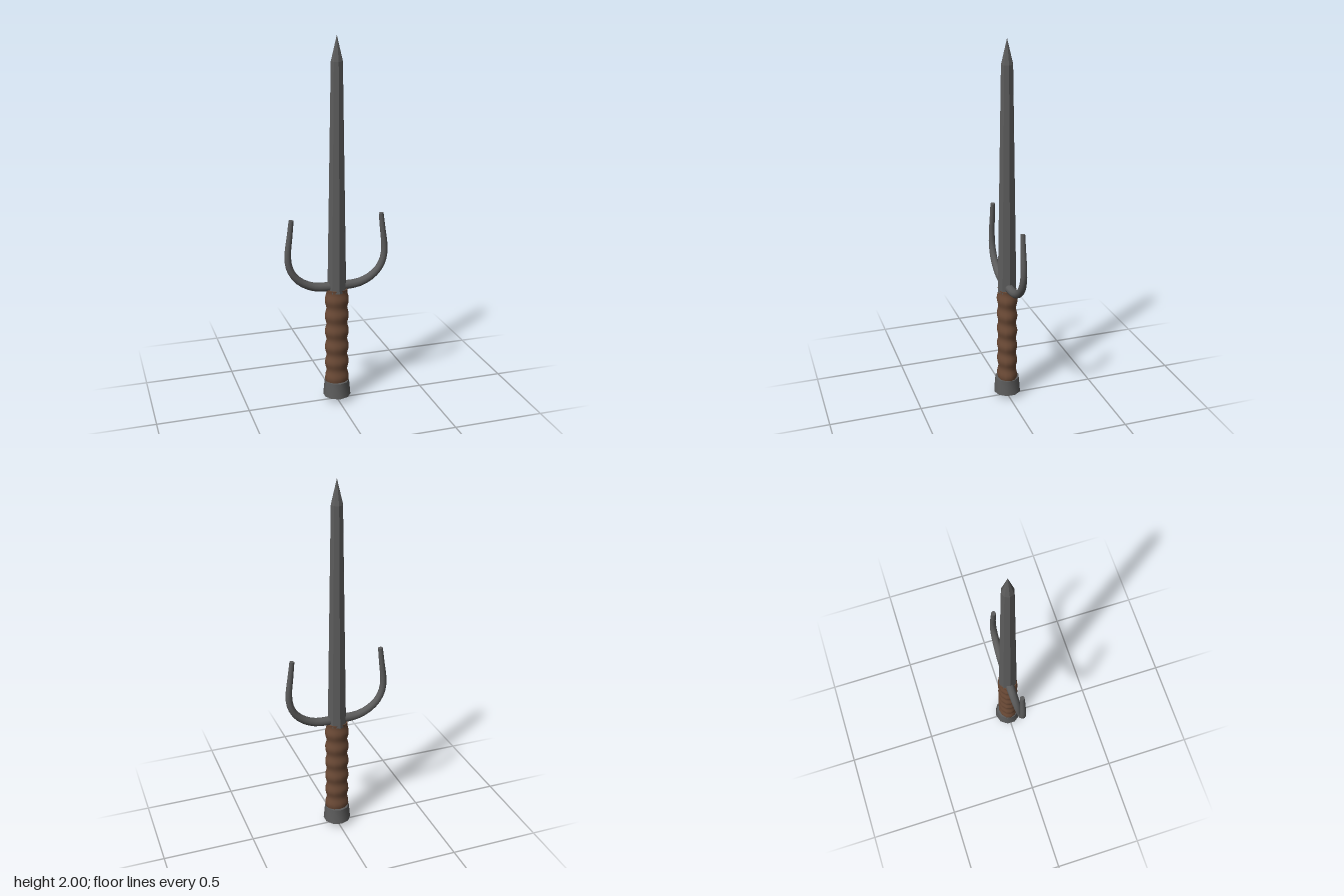
import * as THREE from 'three';
import { toCreasedNormals } from 'three/addons/utils/BufferGeometryUtils.js';

const V2 = (x, y) => new THREE.Vector2(x, y);
const steel = new THREE.MeshStandardMaterial({ color: 0x5c5c5c });
const wrap = new THREE.MeshStandardMaterial({ color: 0x6b4a36 });

function addMesh(parent, name, geometry, material) {
  const mesh = new THREE.Mesh(geometry, material);
  mesh.name = name;
  parent.add(mesh);
  return mesh;
}

// Lathe from [radius, height] pairs, listed bottom to top
function turned(profile, sides, crease) {
  const geo = new THREE.LatheGeometry(profile.map(([r, y]) => V2(r, y)), sides);
  return toCreasedNormals(geo, crease);
}

// Round tube whose radius shrinks along the path
function taperedTube(curve, segments, sides, r0, r1) {
  const geo = new THREE.TubeGeometry(curve, segments, 1, sides);
  const pos = geo.attributes.position;
  const p = new THREE.Vector3();
  for (let i = 0; i < pos.count; i++) {
    const t = Math.floor(i / (sides + 1)) / segments;
    const centre = curve.getPointAt(t);
    p.fromBufferAttribute(pos, i).sub(centre).multiplyScalar(r0 + (r1 - r0) * t).add(centre);
    pos.setXYZ(i, p.x, p.y, p.z);
  }
  return geo;
}

export function createModel() {
  const model = new THREE.Group();
  model.name = 'dagger';

  // Octagonal blade with a short point
  addMesh(model, 'blade',
    turned([[0, 0.64], [0.053, 0.64], [0.032, 1.87], [0, 2]], 8, 0.1), steel);

  // Rippled oval grip
  const bottom = 0.11, top = 0.655, steps = 48;
  const profile = [[0, bottom]];
  for (let i = 0; i <= steps; i++) {
    const y = bottom + (top - bottom) * i / steps;
    profile.push([0.0635 + 0.0045 * Math.cos((y - 0.135) / 0.0915 * Math.PI * 2), y]);
  }
  profile.push([0, top]);
  const grip = addMesh(model, 'grip', turned(profile, 12, 0.9), wrap);
  grip.scale.z = 0.82;

  // Flared pommel with a shallow pointed base
  addMesh(model, 'pommel',
    turned([[0, 0], [0.076, 0.028], [0.068, 0.115], [0, 0.115]], 10, 0.7), steel);

  // Curved side prongs
  for (const side of [1, -1]) {
    const prong = new THREE.Group();
    prong.name = side > 0 ? 'leftProng' : 'rightProng';
    const path = [[0, 0.672], [0.06, 0.672], [0.125, 0.678], [0.19, 0.706], [0.238, 0.75],
      [0.265, 0.81], [0.269, 0.88], [0.259, 0.965], [0.248, 1.06]];
    const curve = new THREE.CatmullRomCurve3(
      path.map(([x, y]) => new THREE.Vector3(side * x, y, 0)));
    addMesh(prong, 'prongBar', taperedTube(curve, 18, 10, 0.026, 0.013), steel);

    const cap = addMesh(prong, 'prongTip', new THREE.CircleGeometry(0.013, 10), steel);
    cap.position.copy(curve.getPointAt(1));
    cap.quaternion.setFromUnitVectors(new THREE.Vector3(0, 0, 1), curve.getTangentAt(1));
    model.add(prong);
  }

  return model;
}
